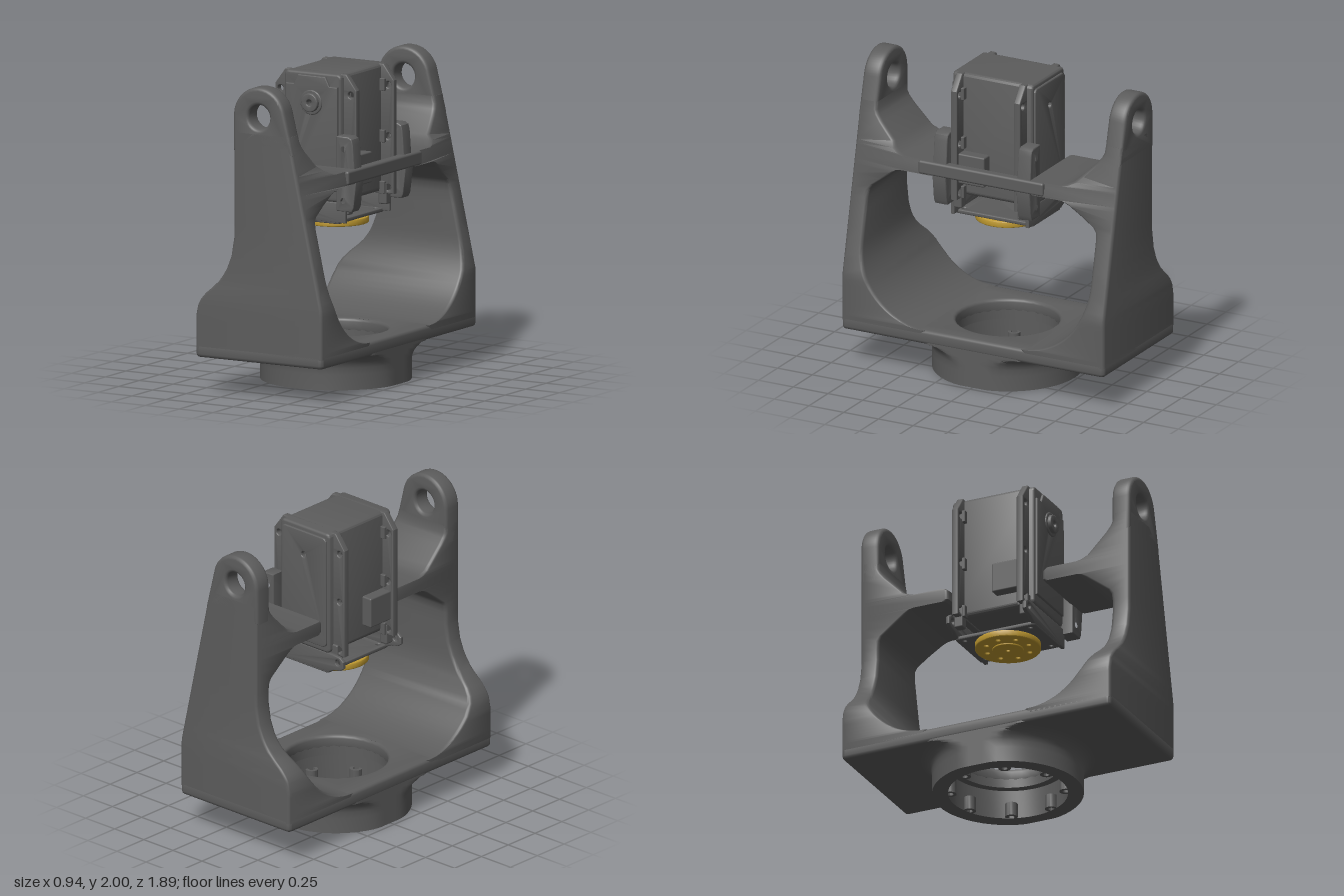
import * as THREE from 'three';
import { toCreasedNormals } from 'three/addons/utils/BufferGeometryUtils.js';
import { RoundedBoxGeometry } from 'three/addons/geometries/RoundedBoxGeometry.js';

const charcoal = new THREE.MeshStandardMaterial({ color: 0x5c5c5c });
const gold = new THREE.MeshStandardMaterial({ color: 0xc09a30 });

function add(parent, name, geometry, material = charcoal) {
  const mesh = new THREE.Mesh(geometry, material);
  mesh.name = name;
  parent.add(mesh);
  return mesh;
}

// Box given by its limits
function box(x0, x1, y0, y1, z0, z1, r = 0.01) {
  const g = new RoundedBoxGeometry(x1 - x0, y1 - y0, z1 - z0, 2, r);
  return g.translate((x0 + x1) / 2, (y0 + y1) / 2, (z0 + z1) / 2);
}

const polygon = (pts) => new THREE.Shape(pts.map(([x, y]) => new THREE.Vector2(x, y)));

function roundRect(x0, x1, y0, y1, r) {
  const s = new THREE.Shape();
  s.absarc(x1 - r, y0 + r, r, -Math.PI / 2, 0);
  s.absarc(x1 - r, y1 - r, r, 0, Math.PI / 2);
  s.absarc(x0 + r, y1 - r, r, Math.PI / 2, Math.PI);
  s.absarc(x0 + r, y0 + r, r, Math.PI, Math.PI * 1.5);
  return s;
}

// Extrude a shape from z0 to z1, with round holes [x, y, r] and rounded edges
function plate(shape, z0, z1, holes = [], bevel = 0.006) {
  for (const [x, y, r] of holes) shape.holes.push(new THREE.Path().absarc(x, y, r, 0, Math.PI * 2, true));
  const g = new THREE.ExtrudeGeometry(shape, {
    depth: z1 - z0 - 2 * bevel, curveSegments: 16, bevelEnabled: bevel > 0,
    bevelSize: bevel, bevelThickness: bevel, bevelOffset: -bevel, bevelSegments: 3,
  });
  return toCreasedNormals(g.translate(0, 0, z0 + bevel), 0.6);
}

// Piecewise linear lookup through [y, value] pairs
function lookup(pairs, y) {
  if (y <= pairs[0][0]) return pairs[0][1];
  for (let i = 1; i < pairs.length; i++) {
    const [y0, v0] = pairs[i - 1], [y1, v1] = pairs[i];
    if (y <= y1) return v0 + (v1 - v0) * (y - y0) / (y1 - y0);
  }
  return pairs[pairs.length - 1][1];
}

const rightEdge = [[0.6, 0.47], [1.86, 0.19]];
const leftEdge = [[0.5, -0.47], [0.57, -0.455], [0.63, -0.42], [0.67, -0.37], [0.72, -0.31],
  [0.8, -0.25], [0.9, -0.21], [1.02, -0.19]];
const bulge = [[1.17, 0], [1.33, 0.055], [1.42, 0.06], [1.48, 0]];
const OUTER = 0.945;

// Arm as a stack of rounded rectangles, flaring out into the floor and the shelf
function armGeometry() {
  const levels = [[0.29, 0.36]];
  for (let i = 0; i <= 18; i++) {
    const a = (i / 18) * Math.PI / 2;
    levels.push([0.82 - 0.5 * Math.cos(a), 0.34 + 0.48 * Math.sin(a)]);
  }
  levels.push([0.9, 0.82], [1.02, 0.82], [1.1, 0.82], [1.15, 0.812], [1.18, 0.79], [1.24, 0.71], [1.3, 0.63],
    [1.322, 0.59], [1.33, 0.55], [1.33, 0.35], [1.345, 0.33], [1.405, 0.33], [1.42, 0.35], [1.42, 0.55],
    [1.428, 0.59], [1.45, 0.64], [1.48, 0.67], [1.58, 0.77], [1.62, 0.802], [1.65, 0.817], [1.7, 0.82]);
  const pos = [], index = [], steps = 4, n = 4 * (steps + 1), r = 0.025;
  for (const [y, zi] of levels) {
    const xl = lookup(leftEdge, y), xr = lookup(rightEdge, y);
    const corners = [[xr - r, OUTER - r], [xl + r, OUTER - r], [xl + r, zi + r], [xr - r, zi + r]];
    corners.forEach(([cx, cz], c) => {
      for (let k = 0; k <= steps; k++) {
        const a = (c + k / steps) * Math.PI / 2;
        const z = cz + r * Math.sin(a);
        const swell = cx > 0 ? lookup(bulge, y) * THREE.MathUtils.clamp((0.92 - z) / 0.25, 0, 1) : 0;
        pos.push(cx + r * Math.cos(a) + swell, y, z);
      }
    });
  }
  for (let j = 0; j < levels.length - 1; j++) {
    for (let i = 0; i < n; i++) {
      const a = j * n + i, b = j * n + (i + 1) % n;
      index.push(a, a + n, b, b, a + n, b + n);
    }
  }
  const top = (levels.length - 1) * n;
  for (let i = 1; i < n - 1; i++) index.push(0, i, i + 1, top, top + i + 1, top + i);
  const g = new THREE.BufferGeometry();
  g.setAttribute('position', new THREE.Float32BufferAttribute(pos, 3));
  g.setIndex(index);
  return toCreasedNormals(g, 0.6);
}

// Rounded top of an arm with the pivot hole
function armTopGeometry() {
  const tilt = Math.atan(0.28 / 1.26);
  const s = new THREE.Shape();
  s.moveTo(-0.19, 1.58);
  s.lineTo(lookup(rightEdge, 1.58), 1.58);
  s.absarc(0, 1.81, 0.19, tilt, Math.PI);
  s.closePath();
  return plate(s, 0.82, OUTER, [[0, 1.81, 0.078]], 0.022);
}

// Round collar, its flare cut flat where it meets the sides of the floor
function collarGeometry() {
  const pts = [[0.38, 0], [0.48, 0], [0.48, 0.1]];
  for (let i = 1; i <= 8; i++) {
    const a = (i / 8) * Math.PI / 2;
    pts.push([0.58 - 0.1 * Math.cos(a), 0.12 + 0.112 * Math.sin(a)]);
  }
  pts.push([0.58, 0.26], [0.33, 0.26], [0.33, 0.19], [0.38, 0.19], [0.38, 0]);
  const g = new THREE.LatheGeometry(pts.map(([x, y]) => new THREE.Vector2(x, y)), 64);
  const p = g.attributes.position;
  for (let i = 0; i < p.count; i++) p.setX(i, THREE.MathUtils.clamp(p.getX(i), -0.468, 0.468));
  return toCreasedNormals(g, 0.6);
}

function buildFrame() {
  const frame = new THREE.Group();
  frame.name = 'frame';
  const floor = plate(roundRect(-0.47, 0.47, -OUTER, OUTER, 0.03), 0.23, 0.322, [[0, 0, 0.33]], 0.022);
  add(frame, 'floor', floor.rotateX(-Math.PI / 2));
  add(frame, 'collar', collarGeometry());
  // Screw bosses inside the collar
  for (let i = 0; i < 8; i++) {
    const a = (i + 0.5) * Math.PI / 4;
    const boss = plate(new THREE.Shape().absarc(0, 0, 0.04, 0, Math.PI * 2), 0, 0.09, [[0, 0, 0.02]], 0);
    add(frame, 'collarBoss', boss.rotateX(-Math.PI / 2).translate(0.365 * Math.cos(a), 0.001, 0.365 * Math.sin(a)));
  }
  const arm = armGeometry(), armTop = armTopGeometry();
  // Clip that hooks the servo's ear at its upper and lower holes
  const clip = plate(polygon([[0.215, 1.62], [0.3, 1.62], [0.325, 1.605], [0.335, 1.57], [0.345, 1.43],
    [0.36, 1.34], [0.34, 1.17], [0.325, 1.14], [0.215, 1.14]]), 0.255, 0.35, [[0.265, 1.54, 0.025], [0.265, 1.21, 0.025]]);
  for (const side of [1, -1]) {
    add(frame, 'arm', arm).scale.z = side;
    add(frame, 'armTop', armTop).scale.z = side;
    add(frame, 'servoClip', clip).scale.z = side;
  }
  add(frame, 'crossBar', box(0.3, 0.365, 1.33, 1.42, -0.45, 0.45, 0.015));
  return frame;
}

function buildServo() {
  const servo = new THREE.Group();
  servo.name = 'servo';
  const shaft = [0, 1.81, 0.02];
  add(servo, 'servoBody', plate(roundRect(-0.21, 0.21, 1.18, 2, 0.03), -0.29, 0.285, [shaft], 0.015));
  const cover = polygon([[-0.19, 1.25], [0.19, 1.25], [0.19, 1.92], [0.13, 1.92], [0.1, 1.98], [-0.1, 1.98],
    [-0.13, 1.92], [-0.19, 1.92]]);
  add(servo, 'frontCover', plate(cover, 0.27, 0.3, [shaft]));
  add(servo, 'backCover', plate(roundRect(-0.19, 0.19, 1.22, 1.97, 0.03), -0.303, -0.27, [shaft]));
  const disc = (r) => new THREE.Shape().absarc(0, 1.81, r, 0, Math.PI * 2);
  add(servo, 'shaftBoss', plate(disc(0.06), 0.29, 0.33, [shaft]));
  add(servo, 'shaftCollar', plate(disc(0.08), 0.29, 0.308, [shaft]));
  for (const s of [1, -1]) {
    // Mounting ears with three holes and a small nut lug at each hole
    const holes = [1.87, 1.54, 1.21].flatMap((y) => [[-0.26, y, 0.021], [0.26, y, 0.021]]);
    const ear = polygon([[-0.3, 1.17], [0.3, 1.17], [0.3, 1.9], [0.225, 2], [-0.225, 2], [-0.3, 1.9]]);
    add(servo, 'mountingEar', plate(ear, s > 0 ? 0.205 : -0.25, s > 0 ? 0.25 : -0.205, holes));
    for (const x of [-0.225, 0.225]) {
      for (const y of [1.87, 1.54, 1.21]) {
        add(servo, 'nutLug', box(x - 0.02, x + 0.02, y - 0.04, y + 0.04, s * 0.205 - 0.02, s * 0.205 + 0.02, 0.004));
      }
    }
  }
  add(servo, 'leftSocket', box(0.2, 0.28, 1.28, 1.48, 0.02, 0.21));
  add(servo, 'rightSocket', box(-0.28, -0.2, 1.28, 1.48, 0.02, 0.21));
  return servo;
}

function buildHornBracket() {
  const bracket = new THREE.Group();
  bracket.name = 'hornBracket';
  const holes = [];
  for (const x of [-0.15, 0.15]) for (const z of [-0.23, 0.23]) holes.push([x, z, 0.015]);
  const base = plate(roundRect(-0.19, 0.19, -0.28, 0.28, 0.02), 1.04, 1.066, holes);
  add(bracket, 'bracketPlate', base.rotateX(-Math.PI / 2));
  const tab = polygon([[-0.19, 1.05], [0.24, 1.05], [0.24, 1.18], [-0.23, 1.18], [-0.29, 1.175], [-0.32, 1.15],
    [-0.32, 1.105], [-0.295, 1.085], [-0.24, 1.075]]);
  const leg = plate(tab, 0.255, 0.282, [[-0.272, 1.135, 0.02]]);
  for (const side of [1, -1]) {
    add(bracket, 'bracketLeg', leg).scale.z = side;
    for (const x of [-0.22, 0.22]) {
      add(bracket, 'bracketFoot', box(x - 0.03, x + 0.03, 1.1, 1.24, side * 0.23 - 0.03, side * 0.23 + 0.03));
    }
  }
  // Output disc with a ring of screw holes and a hub
  const ring = [[0, 0, 0.014]];
  for (let i = 0; i < 8; i++) ring.push([0.145 * Math.cos(i * Math.PI / 4), 0.145 * Math.sin(i * Math.PI / 4), 0.016]);
  const horn = plate(new THREE.Shape().absarc(0, 0, 0.21, 0, Math.PI * 2), 1.0, 1.042, ring);
  add(bracket, 'outputDisc', horn.rotateX(-Math.PI / 2), gold);
  const hub = plate(new THREE.Shape().absarc(0, 0, 0.1, 0, Math.PI * 2), 0.99, 1.01, [[0, 0, 0.014]], 0.003);
  add(bracket, 'outputHub', hub.rotateX(-Math.PI / 2), gold);
  return bracket;
}

export function createModel() {
  const model = new THREE.Group();
  model.name = 'servoYoke';
  model.add(buildFrame(), buildServo(), buildHornBracket());
  return model;
}
